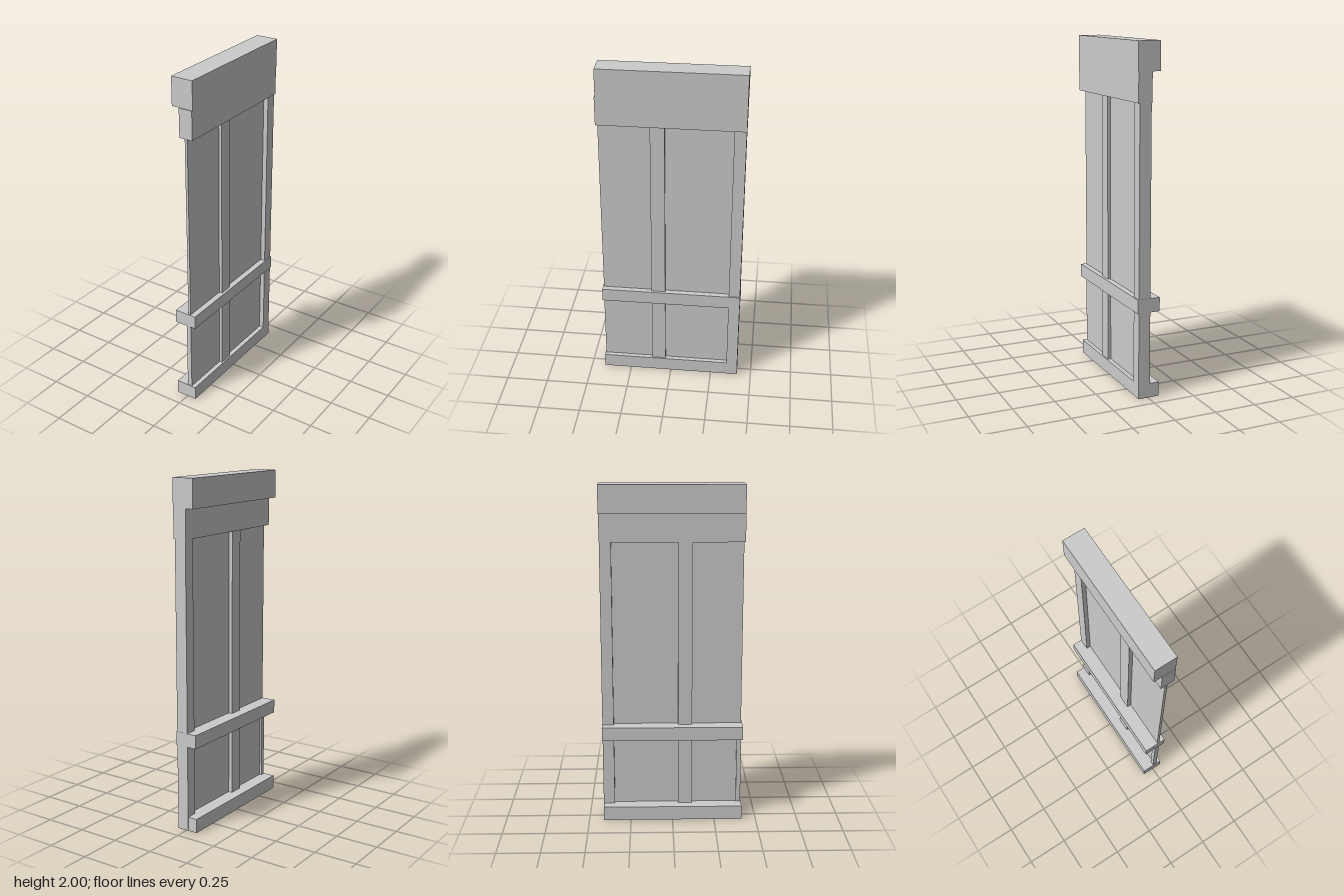
import * as THREE from 'three';

export function createModel() {
  const model = new THREE.Group();
  const material = new THREE.MeshStandardMaterial({ color: 0xcccccc });

  // Box given by its extents along x, y and z
  const board = (name, [x0, x1], [y0, y1], [z0, z1]) => {
    const mesh = new THREE.Mesh(new THREE.BoxGeometry(x1 - x0, y1 - y0, z1 - z0), material);
    mesh.position.set((x0 + x1) / 2, (y0 + y1) / 2, (z0 + z1) / 2);
    mesh.name = name;
    model.add(mesh);
  };

  // Thin recessed wall panel
  board('panel', [0.014, 0.03], [0.02, 1.75], [-0.38, 0.41]);

  // Uprights: full post at the back edge, centre stud, short front batten
  board('cornerPost', [-0.012, 0.058], [0, 1.75], [-0.415, -0.348]);
  board('centreStud', [-0.01, 0.048], [0.02, 1.75], [0.035, 0.117]);
  board('frontBatten', [0.002, 0.03], [0.04, 0.54], [0.385, 0.412]);

  // Horizontal members
  board('baseRail', [-0.07, 0.057], [0, 0.083], [-0.413, 0.416]);
  board('middleRail', [-0.07, 0.064], [0.505, 0.585], [-0.416, 0.416]);
  board('frieze', [-0.016, 0.066], [1.672, 1.838], [-0.416, 0.416]);
  board('topBeam', [-0.063, 0.068], [1.838, 2], [-0.416, 0.411]);

  return model;
}
